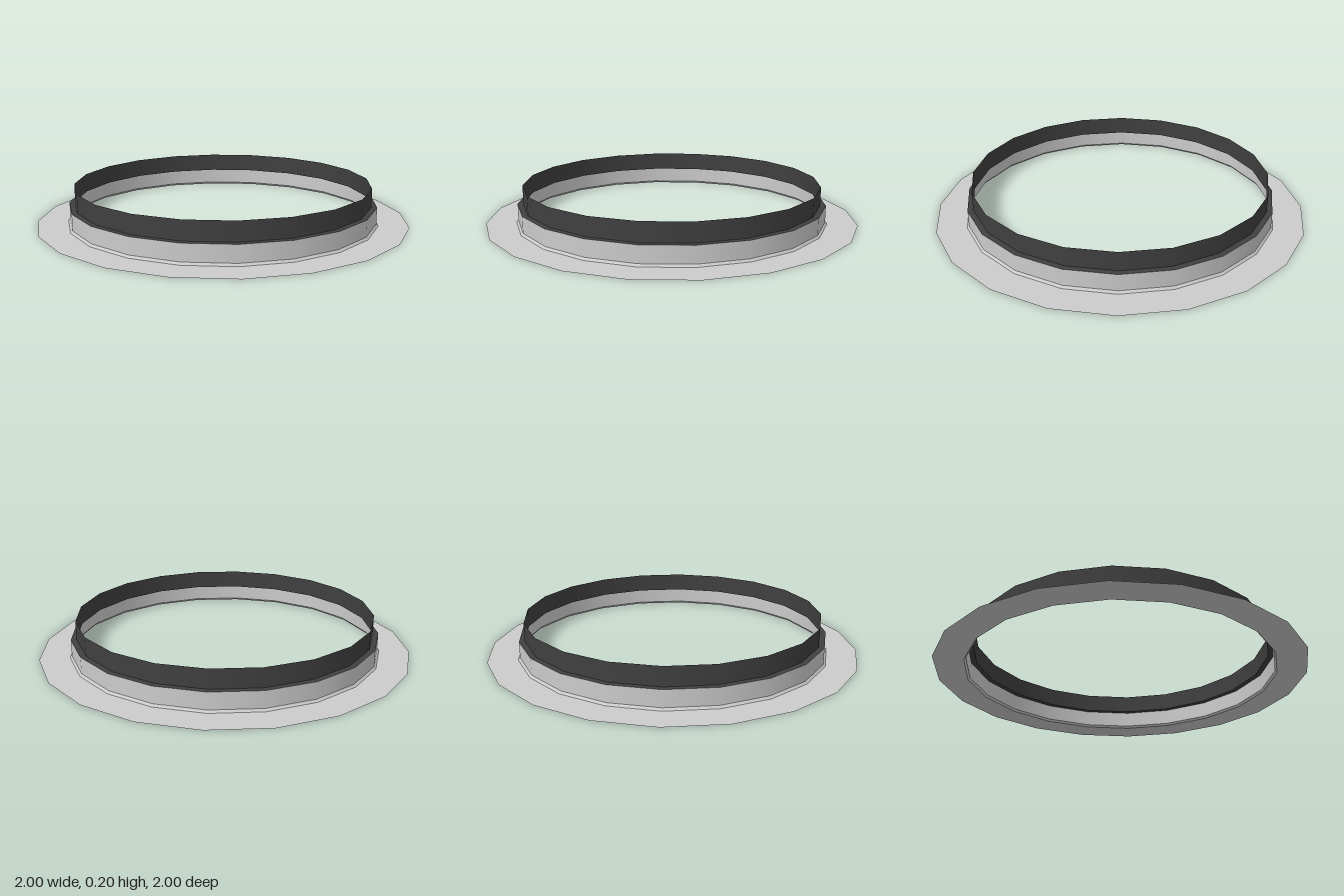
import * as THREE from 'three';

const SIDES = 20;

export function createModel() {
  const group = new THREE.Group();
  const grey = new THREE.MeshStandardMaterial({ color: 0xcccccc, side: THREE.DoubleSide });
  const dark = new THREE.MeshStandardMaterial({ color: 0x404040, side: THREE.DoubleSide });

  // One straight [radius, height] segment swept round the ring, keeping edges crisp
  const addRing = (name, material, from, to) => {
    const profile = [new THREE.Vector2(...from), new THREE.Vector2(...to)];
    const mesh = new THREE.Mesh(new THREE.LatheGeometry(profile, SIDES), material);
    mesh.name = name;
    group.add(mesh);
  };

  // Flat base flange and the small flare joining it to the collar
  addRing('flange', grey, [1, 0], [0.84, 0]);
  addRing('flare', grey, [0.84, 0], [0.83, 0.012]);
  // Lower collar
  addRing('collar', grey, [0.83, 0.012], [0.83, 0.1]);
  // Dark step and upper rim
  addRing('step', dark, [0.83, 0.1], [0.8, 0.1]);
  addRing('rim', dark, [0.8, 0.1], [0.8, 0.2]);

  return group;
}
